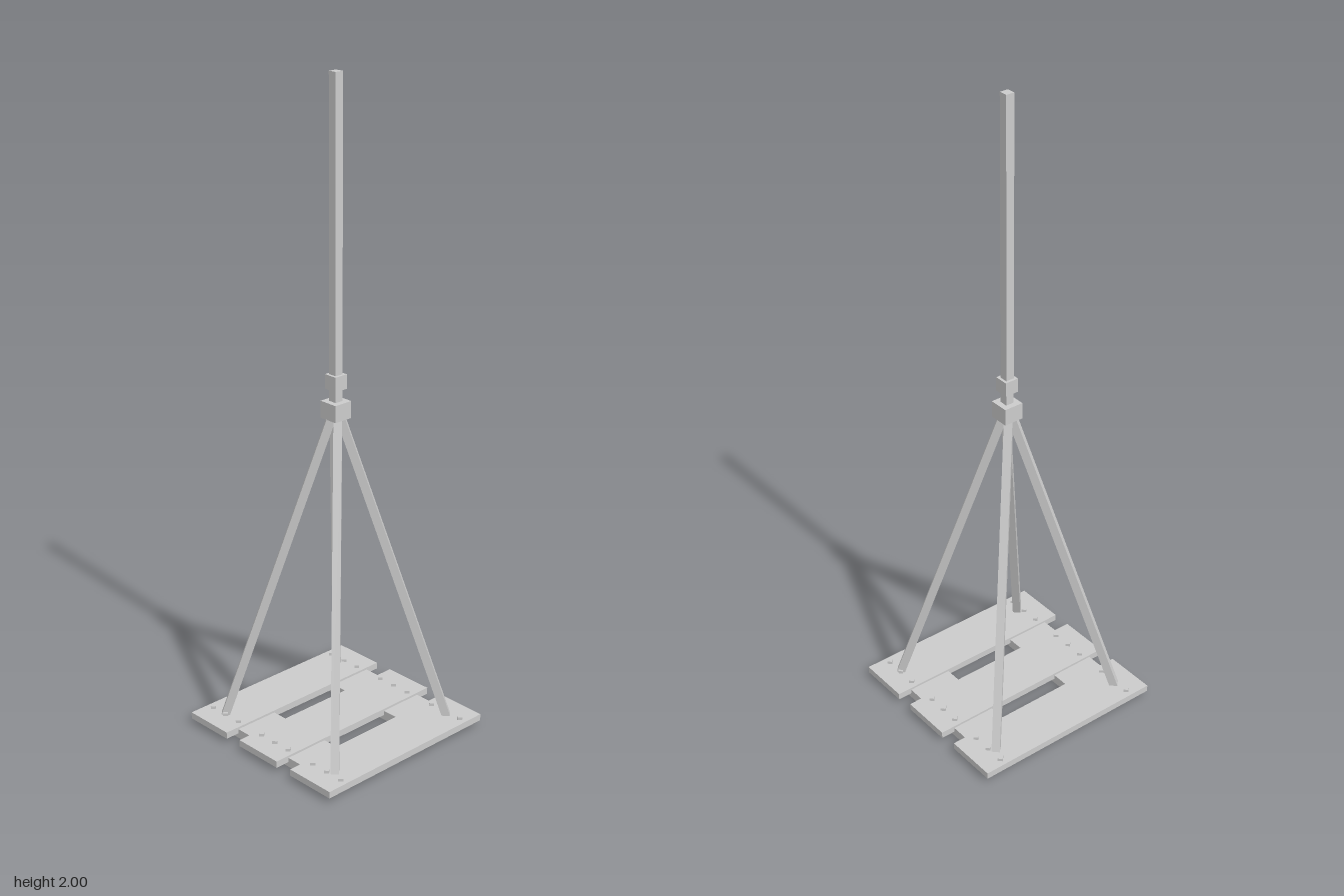
import * as THREE from 'three';

const material = new THREE.MeshStandardMaterial({ color: 0xcccccc, flatShading: true });

function addMesh(parent, name, geometry, x, y, z) {
  const mesh = new THREE.Mesh(geometry, material);
  mesh.name = name;
  mesh.position.set(x, y, z);
  parent.add(mesh);
  return mesh;
}

// Box given by its width, depth and the heights of its bottom and top
function addBox(parent, name, w, d, y0, y1, x = 0, z = 0) {
  return addMesh(parent, name, new THREE.BoxGeometry(w, y1 - y0, d), x, (y0 + y1) / 2, z);
}

export function createModel() {
  const model = new THREE.Group();
  model.name = 'bracedPostOnPallet';

  // Pallet: two cross boards below three planks, bolted at both ends
  const pallet = new THREE.Group();
  pallet.name = 'pallet';
  model.add(pallet);
  for (const z of [-0.198, 0.198]) addBox(pallet, 'crossBoard', 0.54, 0.145, 0, 0.03, 0, z);
  const bolt = new THREE.CylinderGeometry(0.0107, 0.0107, 0.02, 4);
  for (const x of [-0.225, 0, 0.225]) {
    addBox(pallet, 'plank', 0.166, 0.634, 0.016, 0.037, x);
    for (const dx of [-0.059, 0, 0.059]) {
      for (const z of [-0.25, 0.25]) addMesh(pallet, 'bolt', bolt, x + dx, 0.036, z);
    }
  }

  // Four sloping legs, each set slightly beside the diagonal
  const foot = new THREE.Vector3(0.006, 0.034, 0.337);
  const head = new THREE.Vector3(0.006, 1.03, 0.005);
  const slope = head.clone().sub(foot);
  const legGeometry = new THREE.BoxGeometry(0.025, slope.length(), 0.025);
  for (let i = 0; i < 4; i++) {
    const corner = new THREE.Group();
    corner.name = 'legCorner';
    corner.rotation.y = Math.PI / 4 + i * Math.PI / 2;
    const mid = foot.clone().add(head).multiplyScalar(0.5);
    const leg = addMesh(corner, 'leg', legGeometry, mid.x, mid.y, mid.z);
    leg.rotation.x = Math.atan2(slope.z, slope.y);
    model.add(corner);
  }

  // Post with its socket and collar
  addBox(model, 'socket', 0.062, 0.062, 1.005, 1.057);
  addBox(model, 'collar', 0.044, 0.044, 1.094, 1.138);
  addBox(model, 'post', 0.027, 0.027, 1.02, 2);

  return model;
}
